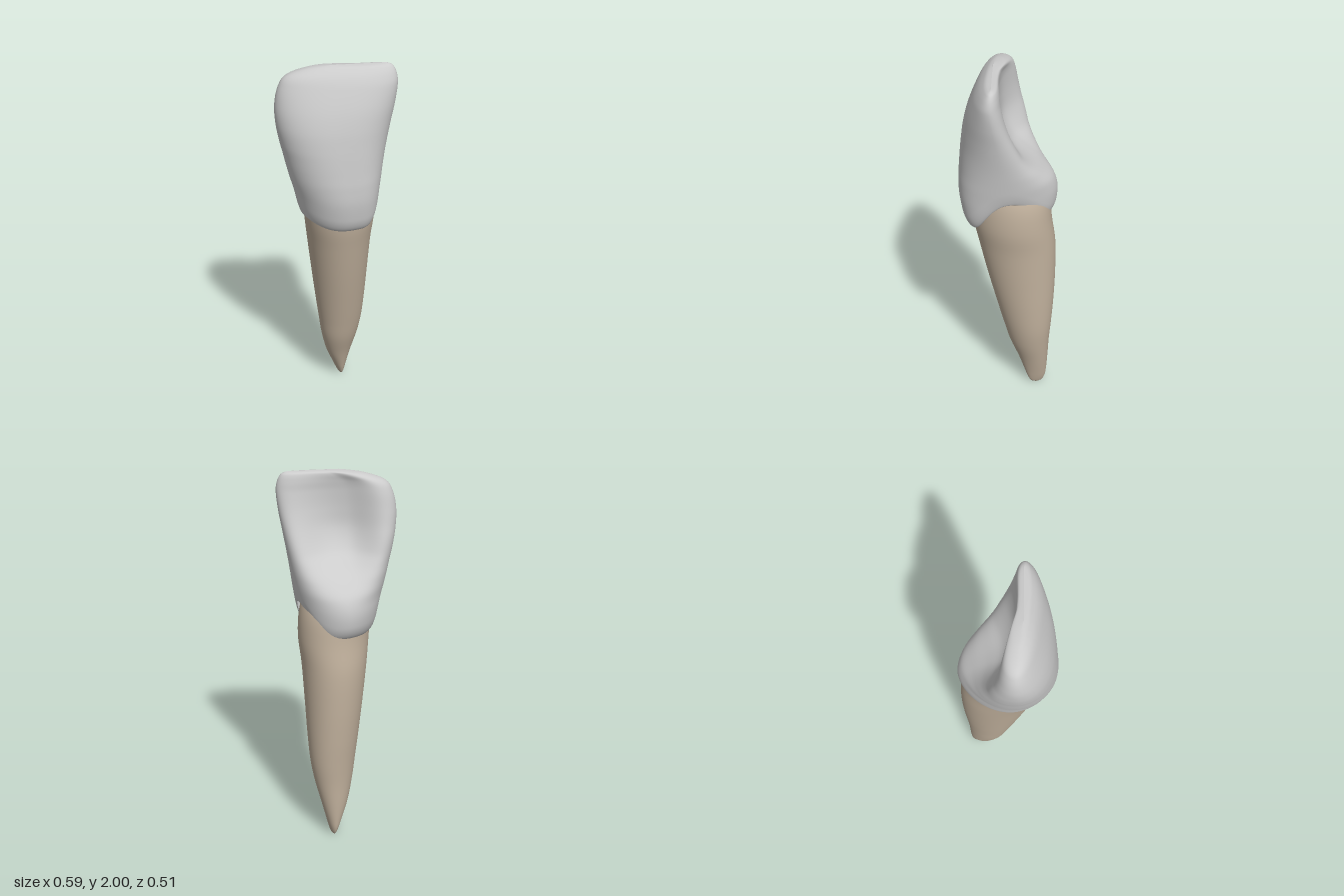
import * as THREE from 'three';

// Smooth (Hermite) interpolation of table rows whose first entry is the height
function sample(table, y) {
  let i = 0;
  while (i < table.length - 2 && y > table[i + 1][0]) i++;
  const a = table[i], b = table[i + 1];
  const p = table[Math.max(i - 1, 0)], n = table[Math.min(i + 2, table.length - 1)];
  const h = b[0] - a[0], t = THREE.MathUtils.clamp((y - a[0]) / h, 0, 1);
  const t2 = t * t, t3 = t2 * t;
  return a.slice(1).map((_, k) => {
    const j = k + 1;
    const ma = (b[j] - p[j]) / (b[0] - p[0]) * h, mb = (n[j] - a[j]) / (n[0] - a[0]) * h;
    return (2 * t3 - 3 * t2 + 1) * a[j] + (t3 - 2 * t2 + t) * ma + (3 * t2 - 2 * t3) * b[j] + (t3 - t2) * mb;
  });
}

// Closed rings stacked upwards; point(v, angle) returns [x, y, z]
function loft(rows, sides, point) {
  const pos = [], index = [];
  for (let i = 0; i <= rows; i++) {
    for (let j = 0; j < sides; j++) pos.push(...point(i / rows, j / sides * Math.PI * 2));
  }
  for (let i = 0; i < rows; i++) {
    for (let j = 0; j < sides; j++) {
      const a = i * sides + j, b = i * sides + (j + 1) % sides;
      index.push(a, a + sides, b, b, a + sides, b + sides);
    }
  }
  const g = new THREE.BufferGeometry();
  g.setAttribute('position', new THREE.Float32BufferAttribute(pos, 3));
  g.setIndex(index);
  g.computeVertexNormals();
  return g;
}

// Root: height, xMin, xMax, zMin, zMax
const ROOT = [
  [0, 0.112, 0.118, -0.155, -0.145],
  [0.012, 0.104, 0.126, -0.182, -0.12],
  [0.05, 0.086, 0.138, -0.2, -0.1],
  [0.1, 0.064, 0.150, -0.207, -0.083],
  [0.2, 0.022, 0.173, -0.213, -0.05],
  [0.33, -0.015, 0.201, -0.217, -0.001],
  [0.45, -0.036, 0.219, -0.225, 0.031],
  [0.6, -0.06, 0.227, -0.236, 0.068],
  [0.8, -0.09, 0.231, -0.245, 0.115],
  [1.0, -0.12, 0.236, -0.243, 0.157],
  [1.15, -0.145, 0.245, -0.222, 0.185],
  [1.3, -0.16, 0.230, -0.205, 0.185],
  [1.42, -0.14, 0.18, -0.16, 0.16],
];

// Crown: height, right corner x z, left corner x z, front bulge, back bulge, back hollow
const CROWN = [
  [1.14, -0.165, 0.0, 0.212, 0.01, 0.225, 0.23, 0],
  [1.3, -0.2, 0.0, 0.226, 0.03, 0.24, 0.27, 0],
  [1.4, -0.228, -0.01, 0.24, 0.05, 0.236, 0.255, 0],
  [1.47, -0.245, -0.018, 0.249, 0.062, 0.228, 0.215, 0.02],
  [1.54, -0.26, -0.026, 0.257, 0.076, 0.218, 0.17, 0.055],
  [1.6, -0.274, -0.032, 0.264, 0.089, 0.207, 0.142, 0.09],
  [1.7, -0.29, -0.04, 0.275, 0.113, 0.184, 0.11, 0.1],
  [1.8, -0.291, -0.046, 0.286, 0.136, 0.152, 0.085, 0.08],
  [1.9, -0.268, -0.04, 0.291, 0.152, 0.106, 0.068, 0.055],
  [1.95, -0.228, -0.025, 0.284, 0.149, 0.078, 0.056, 0.037],
  [1.985, -0.13, 0.012, 0.268, 0.14, 0.047, 0.038, 0.017],
  [1.996, -0.06, 0.043, 0.25, 0.133, 0.026, 0.022, 0.006],
  [2.0, -0.02, 0.065, 0.235, 0.128, 0, 0, 0],
];

function rootPoint(v, angle) {
  const y = 1.42 * Math.pow(v, 1.6);
  const [x0, x1, z0, z1] = sample(ROOT, y);
  // The phase shift turns the oval slightly, fuller at front right and back left
  return [(x0 + x1) / 2 + (x1 - x0) / 2 * Math.cos(angle), y, (z0 + z1) / 2 + (z1 - z0) / 2 * Math.sin(angle - 0.12)];
}

function crownPoint(v, angle) {
  const t = Math.cos(angle), s = Math.sin(angle);
  // Neck line arches up on the flanks, higher on the left
  const neck = 1.14 + 0.04 * Math.max(0, -s) + (t > 0 ? 0.19 : 0.05) * t ** 4;
  const y = neck + (2 - neck) * (0.5 - 0.5 * Math.cos(Math.PI * v));
  const [rx, rz, lx, lz, front, back, hollow] = sample(CROWN, y);
  const mx = (rx + lx) / 2, mz = (rz + lz) / 2, half = Math.hypot(lx - rx, lz - rz) / 2;
  const ux = (lx - rx) / 2 / half, uz = (lz - rz) / 2 / half;
  // Rounder section at the neck, flatter towards the biting edge
  const flat = THREE.MathUtils.smoothstep(y, 1.35, 1.7);
  const round = (power) => Math.sqrt(Math.max(0, 1 - Math.pow(Math.abs(t), power)));
  // The back ridge on the right side stands out further
  const ridge = 1 + 0.4 * flat * THREE.MathUtils.smoothstep(-t, 0.2, 0.8);
  const off = s >= 0
    ? front * round(2.4)
    : -back * ridge * round(1.8 + 2.2 * flat) + hollow * (1 - t * t) ** 2;
  // Rounded tuck onto the root
  const h = THREE.MathUtils.clamp((y - neck) / 0.08, 0, 1);
  const k = 1 - 0.15 * (1 - 0.75 * t * t) * (1 - Math.sqrt(1 - (1 - h) ** 2));
  // Bulges lean towards the left, most at the neck
  const lean = 0.03 * (1 - t * t) * (1 - 0.6 * flat) * THREE.MathUtils.smoothstep(2 - y, 0, 0.2);
  return [mx + lean + k * (ux * t * half - uz * off), y, mz + k * (uz * t * half + ux * off)];
}

export function createModel() {
  const group = new THREE.Group();
  group.name = 'tooth';
  const add = (name, geometry, color) => {
    const mesh = new THREE.Mesh(geometry, new THREE.MeshStandardMaterial({ color, side: THREE.DoubleSide }));
    mesh.name = name;
    group.add(mesh);
  };
  add('root', loft(64, 64, rootPoint), 0xc0b09c);
  add('crown', loft(90, 112, crownPoint), 0xcccccc);
  return group;
}
